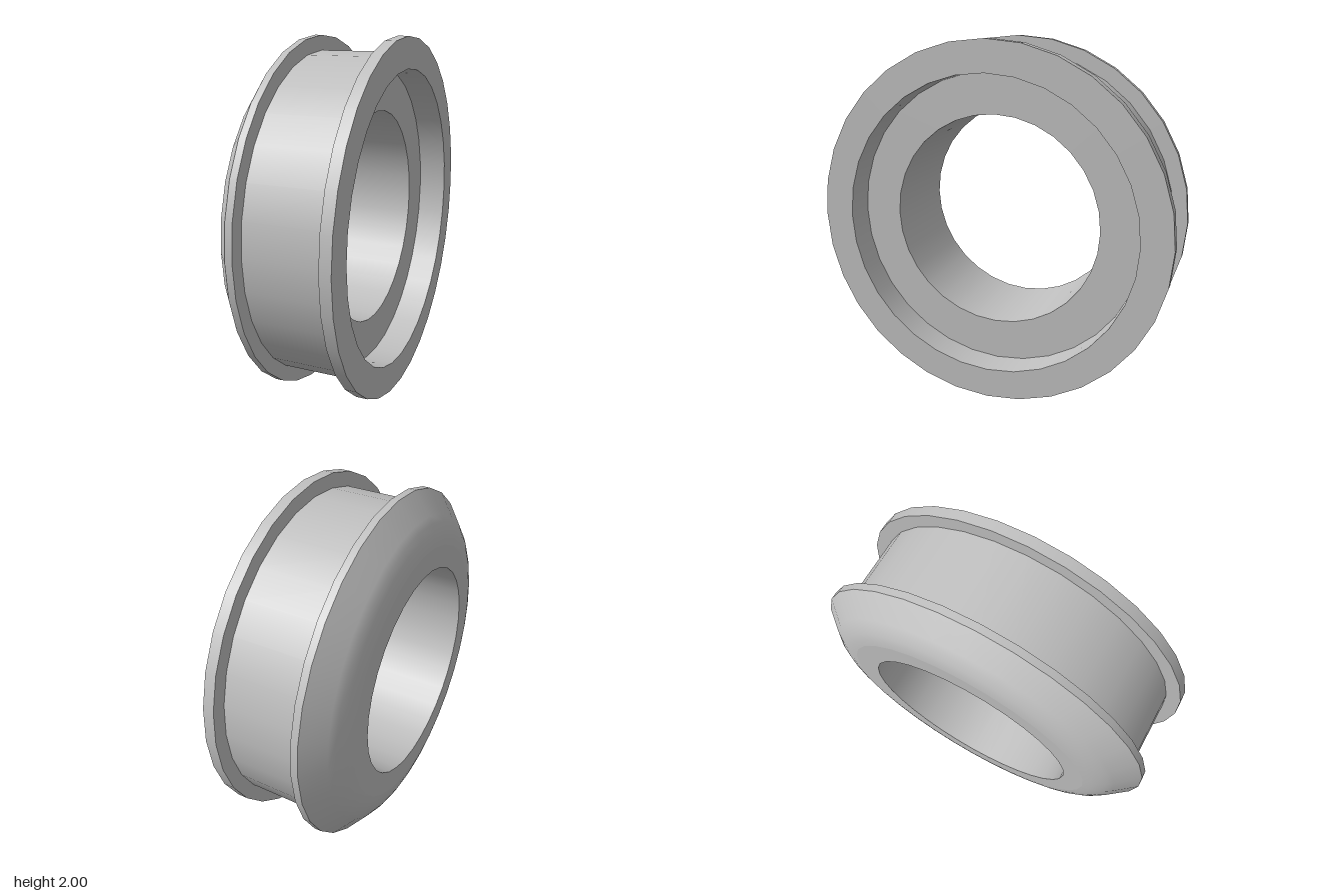
import * as THREE from 'three';

const SIDES = 32;
const BORE = 0.6;
const BORE_SHIFT = 0.012; // the bore sits slightly off centre

export function createModel() {
  const ring = new THREE.Group();
  ring.name = 'flangedRing';
  const grey = new THREE.MeshStandardMaterial({ color: 0xc0c0c0 });
  grey.name = 'light grey';

  // Turns one smooth strip of the profile, given as [radius, x] pairs, about the x axis
  function turn(name, pairs) {
    const points = pairs.map(([r, x]) => new THREE.Vector2(r, x));
    const geometry = new THREE.LatheGeometry(points, SIDES);
    geometry.rotateZ(-Math.PI / 2);
    const p = geometry.attributes.position;
    for (let i = 0; i < p.count; i++) {
      if (Math.hypot(p.getY(i), p.getZ(i)) < BORE + 0.01) p.setZ(i, p.getZ(i) + BORE_SHIFT);
    }
    const mesh = new THREE.Mesh(geometry, grey);
    mesh.name = name;
    ring.add(mesh);
  }

  // Domed side: flat face and rounded shoulder
  turn('domeFace', [[BORE, -0.35], [0.73, -0.35]]);
  turn('domeShoulder', [
    [0.729, -0.35], [0.73, -0.35], [0.77, -0.345], [0.81, -0.334],
    [0.85, -0.316], [0.885, -0.294], [1, -0.2],
  ]);

  // Thin flange beside the dome
  turn('thinFlangeRim', [[1, -0.2], [1, -0.16]]);
  turn('thinFlangeInside', [[1, -0.16], [0.918, -0.16]]);

  // Groove between the flanges
  turn('grooveFloor', [[0.918, -0.16], [0.918, 0.28]]);

  // Thick flange on the open side
  turn('thickFlangeInside', [[0.918, 0.28], [1, 0.28]]);
  turn('thickFlangeRim', [[1, 0.28], [1, 0.342]]);
  turn('thickFlangeFace', [[1, 0.342], [0.83, 0.342]]);

  // Counterbore and through hole
  turn('recessWall', [[0.83, 0.342], [0.83, 0.177]]);
  turn('recessFloor', [[0.83, 0.177], [BORE, 0.177]]);
  turn('boreWall', [[BORE, 0.177], [BORE, -0.35]]);

  ring.rotation.y = -0.005;
  ring.position.y = 1;
  const model = new THREE.Group();
  model.name = 'ringModel';
  model.add(ring);
  return model;
}
